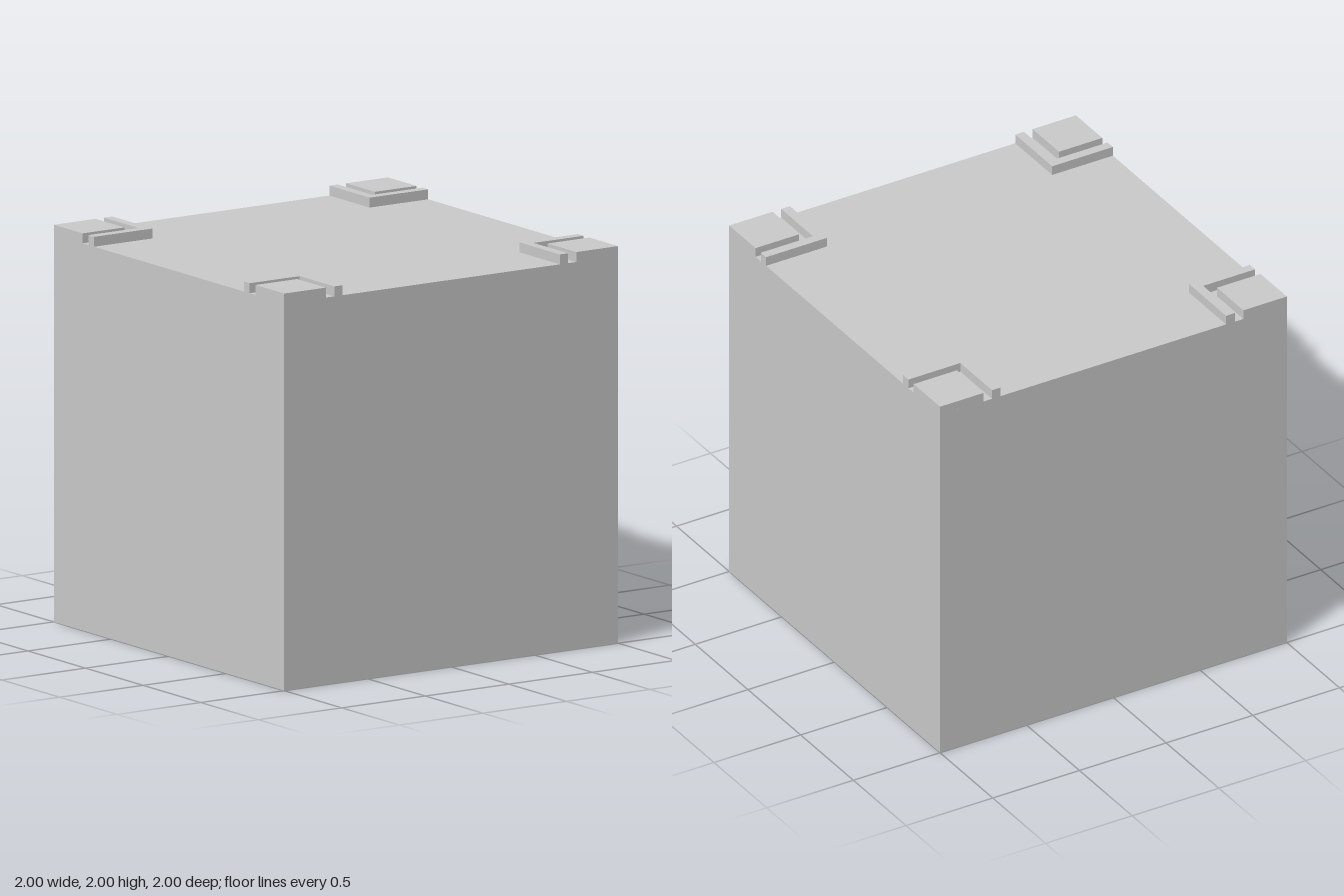
import * as THREE from 'three';

const HALF = 1;          // half width of the block
const BASE_TOP = 1.95;   // height of the flat top
const RAISE = 0.05;      // height of the corner pads and rims
const PAD = 0.75;        // inner edge of the pads
const RIM_OUT = 0.7;     // rim edge beside the groove
const RIM_IN = 0.65;     // rim edge facing the centre

const material = new THREE.MeshStandardMaterial({ color: 0xcccccc });

function mesh(name, geometry) {
  const m = new THREE.Mesh(geometry, material);
  m.name = name;
  return m;
}

// Extrudes a plan outline upward from the flat top
function raised(points) {
  const shape = new THREE.Shape(points.map(([x, y]) => new THREE.Vector2(x, y)));
  return new THREE.ExtrudeGeometry(shape, { depth: RAISE, bevelEnabled: false })
    .rotateX(-Math.PI / 2)
    .translate(0, BASE_TOP, 0);
}

export function createModel() {
  const model = new THREE.Group();
  model.name = 'cornerPadBlock';

  // Main body
  model.add(mesh('body', new THREE.BoxGeometry(2 * HALF, BASE_TOP, 2 * HALF).translate(0, BASE_TOP / 2, 0)));

  // Square pad and the L-shaped rim around it, separated by a groove
  const padGeometry = raised([[PAD, PAD], [HALF, PAD], [HALF, HALF], [PAD, HALF]]);
  const rimGeometry = raised([
    [RIM_IN, RIM_IN], [HALF, RIM_IN], [HALF, RIM_OUT],
    [RIM_OUT, RIM_OUT], [RIM_OUT, HALF], [RIM_IN, HALF],
  ]);

  // One set on each corner
  ['backLeft', 'backRight', 'frontRight', 'frontLeft'].forEach((place, i) => {
    const corner = new THREE.Group();
    corner.name = `${place}Corner`;
    corner.add(mesh('cornerPad', padGeometry), mesh('cornerRim', rimGeometry));
    corner.rotation.y = i * Math.PI / 2;
    model.add(corner);
  });

  return model;
}
